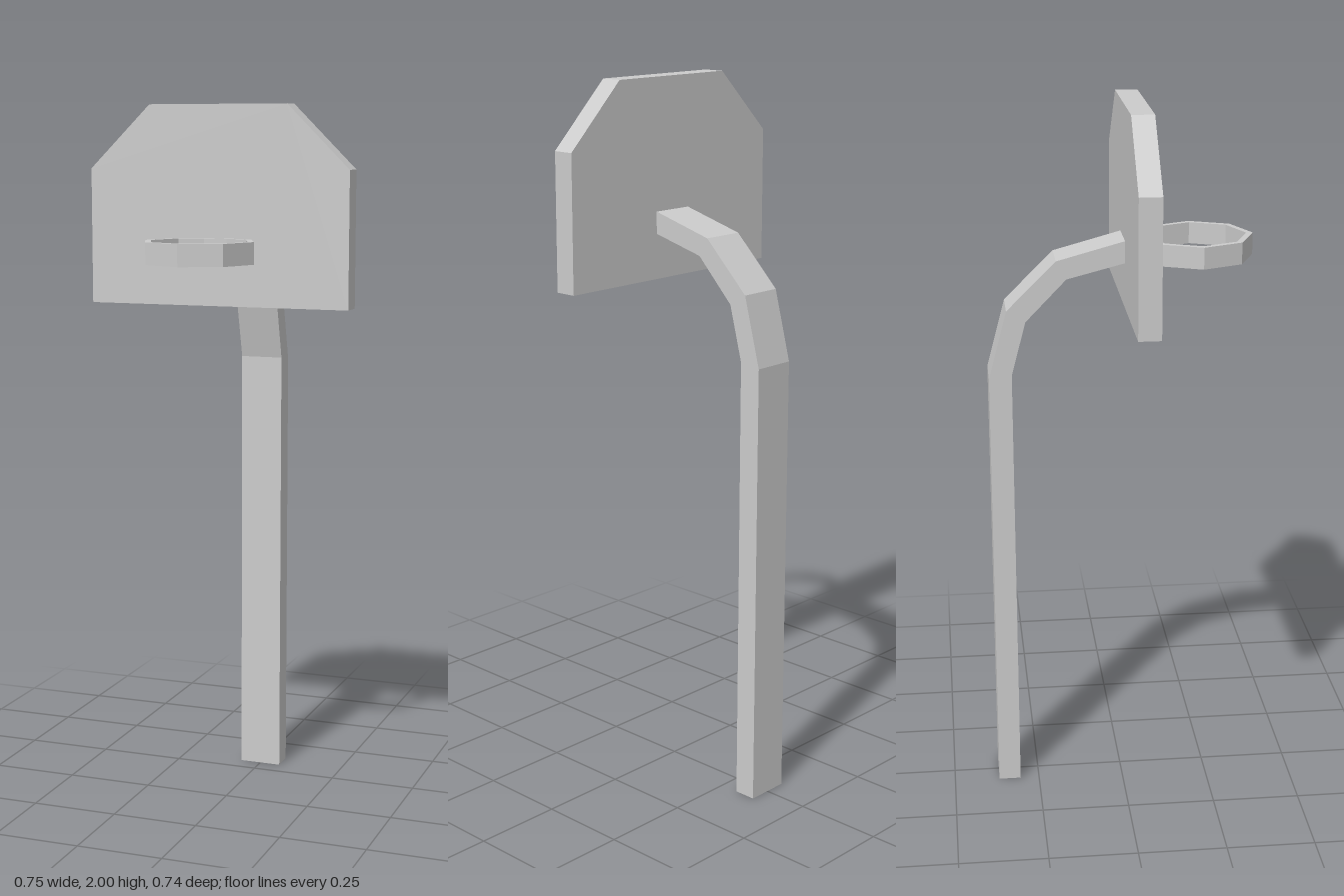
import * as THREE from 'three';

const material = new THREE.MeshStandardMaterial({ color: 0xcccccc, flatShading: true });

const toPoints = (list) => list.map(([a, b]) => new THREE.Vector2(a, b));

// Adds the mirrored half to an open right-hand outline
const mirrored = (half) => [
  ...half,
  ...half.filter(([x]) => x !== 0).reverse().map(([x, y]) => [-x, y]),
];

function extrude(outline, depth, hole) {
  const shape = new THREE.Shape(toPoints(outline));
  if (hole) shape.holes.push(new THREE.Path(toPoints(hole)));
  return new THREE.ExtrudeGeometry(shape, { depth, bevelEnabled: false });
}

function addPart(group, name, geometry) {
  const mesh = new THREE.Mesh(geometry, material);
  mesh.name = name;
  group.add(mesh);
}

export function createModel() {
  const group = new THREE.Group();
  group.name = 'basketballHoop';

  // Backboard with chamfered top corners
  const board = extrude(mirrored([[0.377, 1.45], [0.377, 1.825], [0.2, 2]]), 0.062);
  board.translate(0, 0, 0.008);
  addPart(group, 'backboard', board);

  // Square pole bending forward to the board; side profile as (-z, y)
  const pole = extrude([
    [0.368, 0], [0.368, 1.258], [0.317, 1.45], [0.18, 1.586], [-0.008, 1.637],
    [-0.008, 1.576], [0.152, 1.535], [0.265, 1.418], [0.305, 1.267], [0.305, 0],
  ], 0.124);
  pole.translate(0, 0, -0.062);
  pole.rotateY(Math.PI / 2);
  addPart(group, 'pole', pole);

  // Eight-sided rim, flattened against the board; plan as (x, -z)
  const rim = extrude(
    mirrored([[0, -0.367], [0.11, -0.32], [0.156, -0.21], [0.11, -0.1], [0.038, -0.07]]),
    0.06,
    mirrored([[0, -0.349], [0.098, -0.308], [0.139, -0.21], [0.098, -0.112], [0.033, -0.085]]),
  );
  rim.rotateX(-Math.PI / 2);
  rim.translate(0, 1.577, 0);
  addPart(group, 'rim', rim);

  return group;
}
